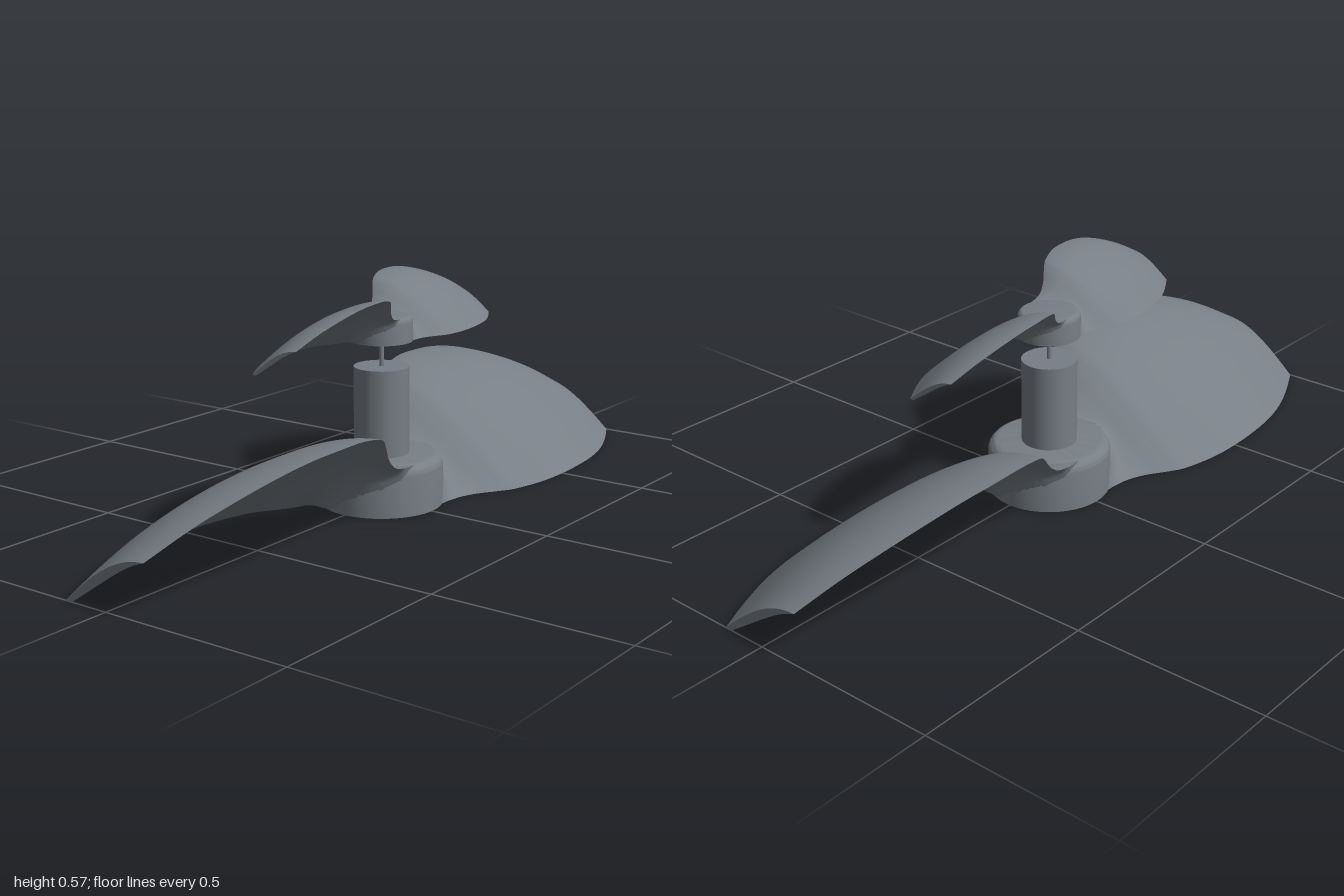
import * as THREE from 'three';
import { toCreasedNormals } from 'three/addons/utils/BufferGeometryUtils.js';

const material = new THREE.MeshStandardMaterial({ color: 0x777e85 });

const hubRadius = 0.16, hubHeight = 0.133;
const thickness = 0.02, filletRadius = 0.055;

// Span stations: x, height of high edge, z of high edge, z of low edge
const stations = [
  [0.05, 0.13, -0.138, 0.145], [0.1, 0.134, -0.143, 0.145], [0.15, 0.148, -0.15, 0.152],
  [0.2, 0.185, -0.167, 0.172], [0.25, 0.231, -0.195, 0.204], [0.3, 0.263, -0.219, 0.23],
  [0.4, 0.284, -0.242, 0.251], [0.5, 0.287, -0.249, 0.256], [0.6, 0.282, -0.245, 0.251],
  [0.7, 0.265, -0.231, 0.238], [0.8, 0.235, -0.204, 0.212], [0.9, 0.193, -0.166, 0.172],
  [1, 0.134, -0.117, 0.123],
];
const spline = (pts) => new THREE.CatmullRomCurve3(pts, false, 'catmullrom', 0.5);
const highEdge = spline(stations.map(([x, h, zHigh]) => new THREE.Vector3(x, h, zHigh)));
const lowEdge = spline(stations.map(([x, , , zLow]) => new THREE.Vector3(x, 0, zLow)));

// Height of a round fillet against the hub wall
function fillet(x, z) {
  const d = THREE.MathUtils.clamp(Math.hypot(x, z) - hubRadius, 0, filletRadius);
  return filletRadius - Math.sqrt(filletRadius ** 2 - (filletRadius - d) ** 2);
}

// Point on the cambered upper (side 1) or lower (side 0) skin; u runs along the span, t across the chord
function skin(u, t, side) {
  const high = highEdge.getPoint(u), low = lowEdge.getPoint(u);
  const x = high.x;
  const z = THREE.MathUtils.lerp(low.z - (side ? 0 : thickness), high.z, t);
  let y = high.y * Math.sin(t * Math.PI / 2);
  if (side) {
    const wall = THREE.MathUtils.smoothstep(hubHeight - y, 0, 0.07);
    y += fillet(x, z) * wall * Math.sqrt(1 - (1 - t) ** 8);
  } else {
    y -= thickness * Math.sin(Math.PI * t) + fillet(x, z) * Math.sqrt(1 - t ** 8);
  }
  return new THREE.Vector3(x, Math.max(0, y), z);
}

// Smooth grid surface, facing along du x dv
function grid(nu, nv, fn) {
  const positions = [], index = [];
  for (let i = 0; i <= nu; i++) {
    for (let j = 0; j <= nv; j++) positions.push(...fn(i / nu, j / nv).toArray());
  }
  for (let i = 0; i < nu; i++) {
    for (let j = 0; j < nv; j++) {
      const a = i * (nv + 1) + j, b = a + nv + 1;
      index.push(a, b, b + 1, a, b + 1, a + 1);
    }
  }
  const geometry = new THREE.BufferGeometry();
  geometry.setAttribute('position', new THREE.Float32BufferAttribute(positions, 3));
  geometry.setIndex(index);
  geometry.computeVertexNormals();
  return geometry;
}

function add(parent, name, geometry, y = 0) {
  const mesh = new THREE.Mesh(geometry, material);
  mesh.name = name;
  mesh.position.y = y;
  parent.add(mesh);
}

const bladeParts = {
  bladeTop: grid(96, 40, (u, v) => skin(u, v, 1)),
  bladeUnderside: grid(96, 40, (u, v) => skin(u, 1 - v, 0)),
  bladeLowEdge: grid(96, 1, (u, v) => skin(u, 0, v)),
  bladeTip: grid(40, 1, (u, v) => skin(1, u, v)),
};

// Hub: solid disc with a rounded upper rim
function hubGeometry() {
  const rim = 0.028;
  const profile = [new THREE.Vector2(0, 0), new THREE.Vector2(hubRadius, 0)];
  for (let i = 0; i <= 8; i++) {
    const a = (i / 8) * Math.PI / 2;
    profile.push(new THREE.Vector2(
      hubRadius - rim + rim * Math.cos(a), hubHeight - rim + rim * Math.sin(a)));
  }
  profile.push(new THREE.Vector2(0, hubHeight));
  return toCreasedNormals(new THREE.LatheGeometry(profile, 64), 0.6);
}

// Two-bladed propeller standing on its own y = 0
function propeller(name) {
  const group = new THREE.Group();
  group.name = name;
  add(group, 'hub', hubGeometry());
  for (const side of ['left', 'right']) {
    const blade = new THREE.Group();
    blade.name = side + 'Blade';
    blade.rotation.y = side === 'left' ? 0 : Math.PI;
    for (const [part, geometry] of Object.entries(bladeParts)) add(blade, part, geometry);
    group.add(blade);
  }
  return group;
}

export function createModel() {
  const model = new THREE.Group();
  model.name = 'doublePropeller';

  model.add(propeller('largePropeller'));

  // Half-size propeller above, turned slightly
  const small = propeller('smallPropeller');
  small.scale.setScalar(0.5);
  small.position.y = 0.428;
  small.rotation.y = 0.117;
  model.add(small);

  // Motor body and thin shaft between the propellers
  add(model, 'motorBody', new THREE.CylinderGeometry(0.072, 0.072, 0.241, 64), 0.2405);
  add(model, 'shaft', new THREE.CylinderGeometry(0.006, 0.006, 0.08, 24), 0.395);

  return model;
}
